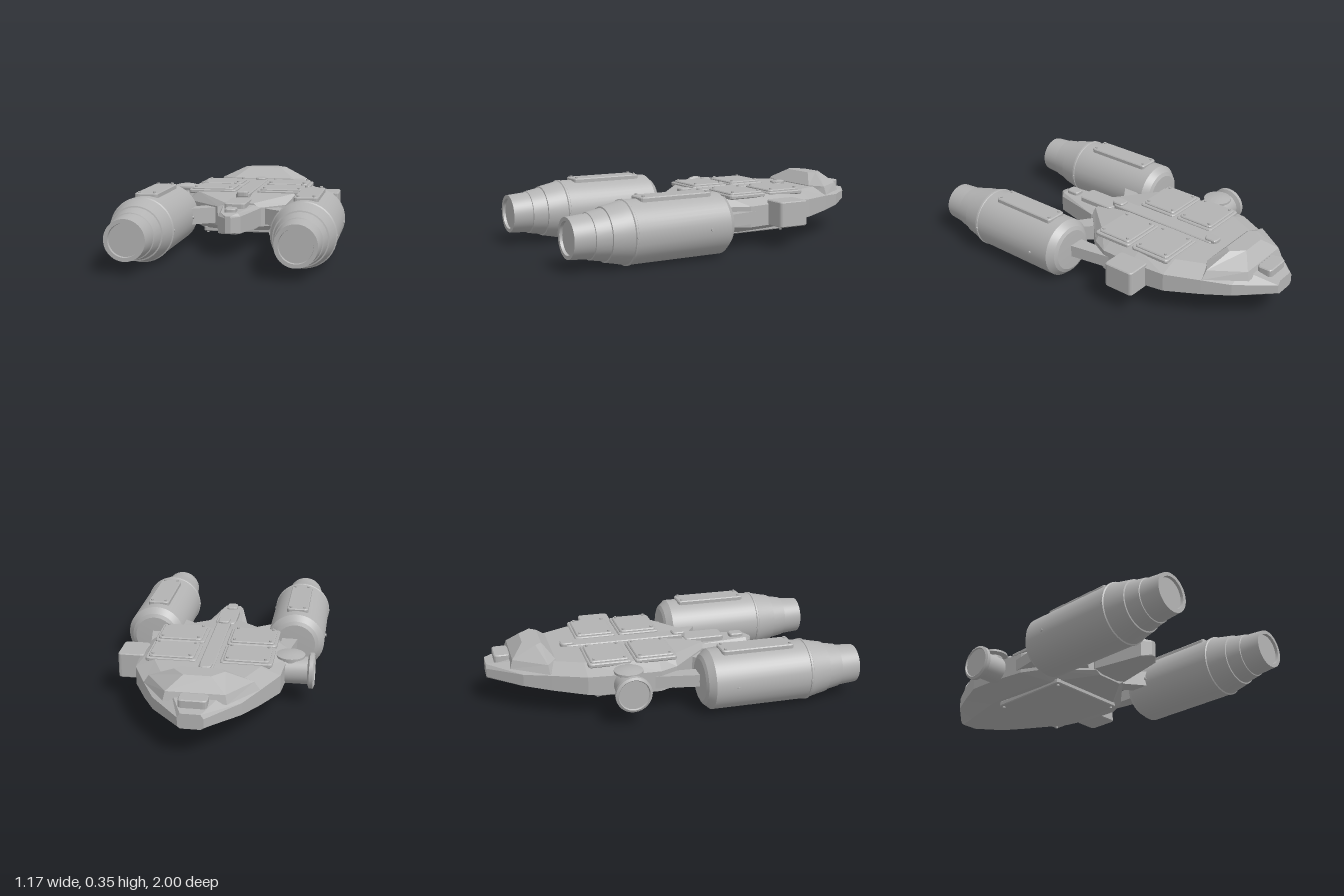
import * as THREE from 'three';
import { toCreasedNormals } from 'three/addons/utils/BufferGeometryUtils.js';

const grey = new THREE.MeshStandardMaterial({ color: 0xb3b3b3 });
grey.name = 'hullGrey';

function add(parent, name, geometry, x = 0, y = 0, z = 0) {
  const mesh = new THREE.Mesh(geometry, grey);
  mesh.name = name;
  mesh.position.set(x, y, z);
  parent.add(mesh);
  return mesh;
}

// Faceted skin over matching rings of 3D points, closed at both ends
function loft(rings) {
  const out = [];
  const tri = (...pts) => pts.forEach((p) => out.push(...p));
  const n = rings[0].length;
  for (let i = 0; i < rings.length - 1; i++) {
    for (let j = 0; j < n; j++) {
      const k = (j + 1) % n, a = rings[i], b = rings[i + 1];
      tri(a[j], a[k], b[k]);
      tri(a[j], b[k], b[j]);
    }
  }
  const first = rings[0], last = rings[rings.length - 1];
  for (let j = 1; j < n - 1; j++) {
    tri(first[0], first[j + 1], first[j]);
    tri(last[0], last[j], last[j + 1]);
  }
  const g = new THREE.BufferGeometry();
  g.setAttribute('position', new THREE.Float32BufferAttribute(out, 3));
  g.computeVertexNormals();
  return g;
}

// Upright prism from an outline of [x, z] points
function prism(points, y0, y1) {
  const shape = new THREE.Shape(points.map(([x, z]) => new THREE.Vector2(x, -z)));
  const g = new THREE.ExtrudeGeometry(shape, { depth: y1 - y0, bevelEnabled: false });
  return g.rotateX(-Math.PI / 2).translate(0, y0, 0);
}

// Rounded, bevelled plate with its base at y = 0
function plateGeometry(w, d, h, r = 0.02) {
  const b = Math.min(0.005, h / 3), x = w / 2 - b, z = d / 2 - b;
  const s = new THREE.Shape();
  s.moveTo(-x + r, -z);
  s.lineTo(x - r, -z).quadraticCurveTo(x, -z, x, -z + r);
  s.lineTo(x, z - r).quadraticCurveTo(x, z, x - r, z);
  s.lineTo(-x + r, z).quadraticCurveTo(-x, z, -x, z - r);
  s.lineTo(-x, -z + r).quadraticCurveTo(-x, -z, -x + r, -z);
  const g = new THREE.ExtrudeGeometry(s, {
    depth: h - 2 * b, bevelEnabled: true, bevelThickness: b, bevelSize: b, bevelSegments: 1, curveSegments: 3,
  });
  return g.translate(0, 0, b).rotateX(-Math.PI / 2);
}

// Plate spanning x0..x1 and z0..z1, with optional bolts at its corners
function plate(parent, name, x0, x1, z0, z1, y0, y1, bolts = 0) {
  const cx = (x0 + x1) / 2, cz = (z0 + z1) / 2;
  add(parent, name, plateGeometry(x1 - x0, z1 - z0, y1 - y0, 0.015), cx, y0, cz);
  if (!bolts) return;
  const y = bolts > 0 ? y1 : y0;
  for (const bx of [x0 + 0.022, x1 - 0.022]) {
    for (const bz of [z0 + 0.022, z1 - 0.022]) {
      add(parent, name + 'Bolt', new THREE.CylinderGeometry(0.008, 0.008, 0.016, 10), bx, y, bz);
    }
  }
}

function lathe(points, segments = 48) {
  const g = new THREE.LatheGeometry(points.map(([r, y]) => new THREE.Vector2(r, y)), segments);
  return toCreasedNormals(g, 0.3);
}

function hullSection([z, w, top, wTop, hi, lo, bottom, wBottom]) {
  return [
    [w, lo, z], [w, hi, z], [wTop, top, z], [-wTop, top, z],
    [-w, hi, z], [-w, lo, z], [-wBottom, bottom, z], [wBottom, bottom, z],
  ];
}

function buildEngine(side) {
  const engine = new THREE.Group();
  engine.name = side > 0 ? 'leftEngine' : 'rightEngine';
  engine.position.set(side * 0.415, 0.17, 0);

  // Nacelle with a stepped nozzle
  const body = lathe([
    [0, 0.1], [0.115, 0.105], [0.135, 0.115], [0.165, 0.15], [0.165, 0.685],
    [0.169, 0.688], [0.169, 0.698], [0.163, 0.702], [0.15, 0.76], [0.14, 0.81],
    [0.133, 0.812], [0.119, 0.89], [0.114, 0.892], [0.105, 1.0],
    [0.085, 1.0], [0.083, 0.985], [0, 0.985],
  ]);
  add(engine, 'nacelle', body.rotateX(Math.PI / 2));

  // Dorsal access cover
  plate(engine, 'engineCover', -0.062, 0.062, 0.21, 0.62, 0.145, 0.177, 1);

  // Small side bolts
  for (const z of [0.27, 0.69]) {
    for (const s of [-1, 1]) {
      const bolt = add(engine, 'engineBolt', new THREE.CylinderGeometry(0.008, 0.008, 0.02, 10), s * 0.162, 0, z);
      bolt.rotation.z = Math.PI / 2;
    }
  }
  return engine;
}

export function createModel() {
  const ship = new THREE.Group();
  ship.name = 'spaceship';

  // Main hull: z, half width, top y, top half width, edge y high and low, bottom y, bottom half width
  const hull = [
    [-1.0, 0.065, 0.237, 0.05, 0.215, 0.168, 0.157, 0.05],
    [-0.82, 0.225, 0.268, 0.13, 0.225, 0.16, 0.12, 0.13],
    [-0.68, 0.3, 0.28, 0.2, 0.235, 0.15, 0.105, 0.18],
    [-0.5, 0.385, 0.283, 0.28, 0.24, 0.14, 0.09, 0.24],
    [-0.3, 0.4, 0.283, 0.33, 0.24, 0.125, 0.078, 0.27],
    [-0.1, 0.385, 0.28, 0.31, 0.23, 0.115, 0.072, 0.27],
    [0.0, 0.335, 0.28, 0.28, 0.228, 0.115, 0.072, 0.25],
    [0.22, 0.11, 0.25, 0.08, 0.225, 0.12, 0.1, 0.08],
  ];
  add(ship, 'hull', loft(hull.map(hullSection)));

  // Tapered tail boom
  const tail = [
    [0.1, 0.09, 0.238, 0.075, 0.225, 0.125, 0.11, 0.06],
    [0.22, 0.122, 0.24, 0.085, 0.225, 0.125, 0.11, 0.06],
    [0.5, 0.06, 0.238, 0.045, 0.22, 0.13, 0.125, 0.04],
    [0.54, 0.015, 0.225, 0.012, 0.215, 0.14, 0.135, 0.012],
  ];
  add(ship, 'tail', loft(tail.map(hullSection)));

  // Cockpit canopy
  const level = (y, pts) => pts.map(([x, z]) => [x, y, z]);
  add(ship, 'canopy', loft([
    level(0.24, [[0.2, -0.635], [0.3, -0.685], [0.16, -0.88], [-0.16, -0.88], [-0.3, -0.685], [-0.2, -0.635]]),
    level(0.285, [[0.19, -0.64], [0.27, -0.69], [0.15, -0.865], [-0.15, -0.865], [-0.27, -0.69], [-0.19, -0.64]]),
    level(0.35, [[0.1, -0.7], [0.13, -0.735], [0.07, -0.8], [-0.07, -0.8], [-0.13, -0.735], [-0.1, -0.7]]),
  ]));
  plate(ship, 'noseHatch', -0.073, 0.073, -0.955, -0.87, 0.235, 0.287);

  // Spine with end caps
  plate(ship, 'spine', -0.04, 0.04, -0.56, 0.12, 0.25, 0.29);
  for (const z of [-0.545, 0.1]) plate(ship, 'spineCap', -0.032, 0.032, z - 0.038, z + 0.038, 0.27, 0.302);
  plate(ship, 'tailCover', -0.058, 0.058, 0.13, 0.36, 0.23, 0.268);
  plate(ship, 'tailCap', -0.031, 0.031, 0.41, 0.49, 0.22, 0.258);

  // Belly plate
  plate(ship, 'bellyPlate', -0.24, 0.24, -0.44, 0.05, 0.056, 0.085, -1);

  for (const s of [-1, 1]) {
    // Two-tier deck panels
    for (const z of [-0.368, -0.115]) {
      const x = s * 0.2;
      plate(ship, 'deckPanelBase', x - 0.138, x + 0.138, z - 0.118, z + 0.118, 0.268, 0.291);
      plate(ship, 'deckPanel', x - 0.122, x + 0.122, z - 0.105, z + 0.105, 0.285, 0.301, 1);
    }

    // Struts joining hull and tail to the engine
    const flip = (pts) => pts.map(([x, z]) => [s * x, z]);
    add(ship, 'forwardStrut', prism(flip([[0.33, -0.15], [0.385, -0.15], [0.432, 0.13], [0.34, 0.13], [0.335, 0.0]]), 0.135, 0.203));
    add(ship, 'rearStrut', prism(flip([[0.1, 0.13], [0.14, 0.19], [0.28, 0.29], [0.28, 0.2], [0.2, 0.12]]), 0.13, 0.218));
    ship.add(buildEngine(s));
  }

  // Left equipment pod
  const pod = plateGeometry(0.145, 0.18, 0.14, 0.015);
  add(ship, 'sidePod', pod, 0.44, 0.12, -0.3);

  // Right docking drum with flange, and a round sensor cap above
  const drum = lathe([
    [0, 0], [0.075, 0], [0.075, 0.125], [0.098, 0.135], [0.098, 0.155], [0.085, 0.162], [0.08, 0.155], [0, 0.155],
  ], 32);
  add(ship, 'dockingDrum', drum.rotateZ(Math.PI / 2), -0.39, 0.185, -0.29);
  const cap = lathe([[0, 0], [0.05, 0], [0.05, 0.05], [0.078, 0.058], [0.078, 0.07], [0.04, 0.08], [0, 0.082]], 32);
  add(ship, 'sensorCap', cap, -0.42, 0.205, -0.29);

  return ship;
}
